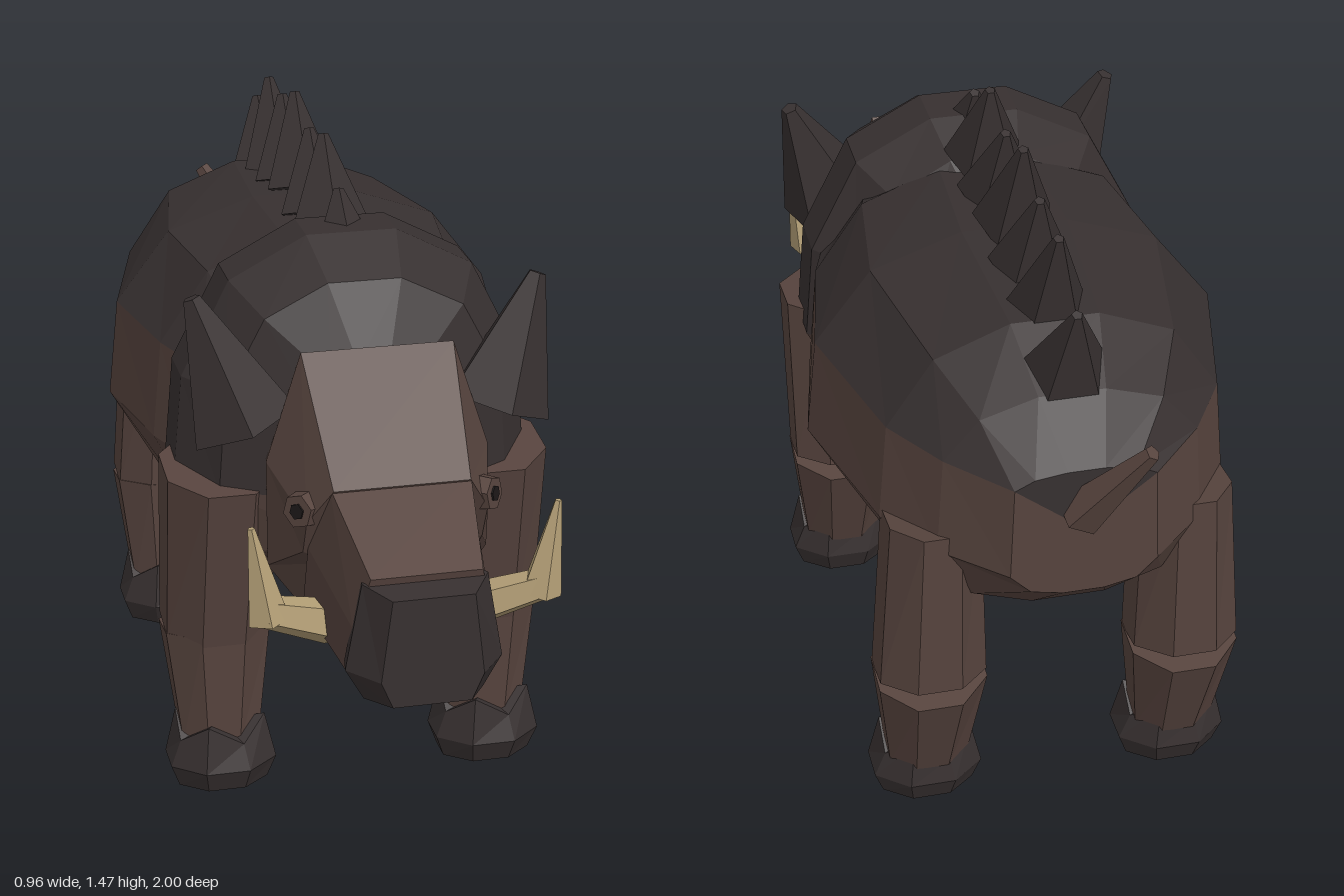
import * as THREE from 'three';

const mat = (name, color) => {
  const m = new THREE.MeshStandardMaterial({ color, flatShading: true });
  m.name = name;
  return m;
};

// Skin a list of equal-length rings; isDark(j) picks the second material per column
function loft(name, rings, mats, isDark = () => false) {
  const buckets = [[], []];
  const n = rings[0].length;
  const centre = r => [0, 1, 2].map(k => r.reduce((s, p) => s + p[k], 0) / n);
  const last = rings[rings.length - 1];
  const c0 = centre(rings[0]), c1 = centre(last);
  for (let j = 0; j < n; j++) {
    const out = buckets[isDark(j) ? 1 : 0];
    const k = (j + 1) % n;
    for (let i = 0; i < rings.length - 1; i++) {
      const a = rings[i][j], b = rings[i][k], c = rings[i + 1][k], d = rings[i + 1][j];
      out.push(...a, ...b, ...c, ...a, ...c, ...d);
    }
    out.push(...c0, ...rings[0][k], ...rings[0][j], ...c1, ...last[j], ...last[k]);
  }
  const g = new THREE.BufferGeometry();
  g.setAttribute('position', new THREE.Float32BufferAttribute([...buckets[0], ...buckets[1]], 3));
  g.addGroup(0, buckets[0].length / 3, 0);
  if (buckets[1].length) g.addGroup(buckets[0].length / 3, buckets[1].length / 3, 1);
  g.computeVertexNormals();
  const mesh = new THREE.Mesh(g, mats);
  mesh.name = name;
  return mesh;
}

// Complete a right-hand half outline (bottom to top) with its mirror image
const mirrorRing = half => [...half, ...half.slice().reverse().map(([x, y, z]) => [-x, y, z])];

// Barrel cross-section
const barrel = ([z, w, top, up, low, bot]) => mirrorRing([
  [0.28 * w, bot, z], [0.72 * w, bot + 0.25 * (low - bot), z], [w, low, z],
  [0.95 * w, up, z], [0.68 * w, up + 0.7 * (top - up), z], [0.25 * w, top, z],
]);

// Slanted head cross-section from a bottom point to a top point
const headRing = ([yb, zb, yt, zt, w, wTop]) => mirrorRing(
  [[0.65 * w, 0], [w, 0.2], [w, 0.6], [wTop, 1]]
    .map(([x, t]) => [x, yb + (yt - yb) * t, zb + (zt - zb) * t]));

// Upright eight-sided ring; tilt raises its back, zig makes alternate points rise and fall
const legRing = (x, y, z, rx, rz, tilt = 0, zig = 0) => Array.from({ length: 8 }, (_, i) => {
  const a = (i + 0.5) * Math.PI / 4;
  return [x + rx * Math.cos(a) * 1.08, y + tilt * Math.sin(a) + (i % 2 ? zig : -zig), z - rz * Math.sin(a) * 1.08];
});

// Tapered rod between two points
function rod(name, from, to, r0, r1, sides, material) {
  const a = new THREE.Vector3(...from), b = new THREE.Vector3(...to);
  const dir = b.clone().sub(a);
  const mesh = new THREE.Mesh(new THREE.CylinderGeometry(r1, r0, dir.length(), sides), material);
  mesh.position.copy(a).add(b).multiplyScalar(0.5);
  mesh.quaternion.setFromUnitVectors(new THREE.Vector3(0, 1, 0), dir.normalize());
  mesh.name = name;
  return mesh;
}

export function createModel() {
  const model = new THREE.Group();
  model.name = 'boar';
  const hide = mat('brown hide', 0x57443e);
  const hair = mat('dark hair', 0x373030);
  const ivory = mat('ivory', 0xb5a077);
  const pupil = mat('eye black', 0x1c1818);

  // Body and shoulders, dark along the back
  model.add(loft('body', [
    [-0.905, 0.16, 1.02, 0.99, 0.77, 0.71],
    [-0.78, 0.29, 1.13, 1.0, 0.77, 0.6],
    [-0.63, 0.385, 1.22, 1.0, 0.77, 0.5],
    [-0.27, 0.478, 1.24, 1.0, 0.77, 0.46],
    [0.03, 0.42, 1.235, 1.0, 0.77, 0.46],
    [0.2, 0.36, 1.15, 1.0, 0.77, 0.5],
  ].map(barrel), [hide, hair], j => j >= 3 && j <= 7));
  model.add(loft('shoulders', [
    [-0.05, 0.2, 1.19, 1.0, 0.77, 0.55],
    [0.02, 0.32, 1.255, 1.0, 0.77, 0.5],
    [0.13, 0.41, 1.31, 1.0, 0.77, 0.47],
    [0.25, 0.41, 1.31, 1.0, 0.77, 0.48],
    [0.38, 0.33, 1.24, 1.0, 0.77, 0.56],
    [0.47, 0.14, 1.08, 0.98, 0.77, 0.64],
  ].map(barrel), [hide, hair], j => j >= 2 && j <= 8));

  // Head, muzzle and nose
  model.add(loft('head', [
    [0.6, 0.32, 0.95, 0.3, 0.21, 0.16],
    [0.52, 0.52, 1.13, 0.5, 0.25, 0.17],
    [0.69, 0.635, 0.9, 0.73, 0.2, 0.15],
  ].map(headRing), [hide]));
  model.add(loft('muzzle', [
    [0.5, 0.58, 0.905, 0.71, 0.19, 0.155],
    [0.48, 0.87, 0.79, 0.94, 0.15, 0.12],
  ].map(headRing), [hide]));
  model.add(loft('nose', [[0.88, 0.95, 0.01], [0.925, 1, 0], [1.0, 0.65, 0.01]].map(([z, s, d]) =>
    mirrorRing([[0.13 * s, 0.51 + d, z], [0.17 * s, 0.58, z], [0.135 * s, 0.775 - d, z]])), [hair]));

  for (const s of [1, -1]) {
    const side = s > 0 ? 'left' : 'right';
    const at = (x, y, z) => [s * x, y, z];

    // Ears
    model.add(rod(side + 'Ear', at(0.285, 0.95, 0.44), at(0.388, 1.235, 0.395), 0.125, 0.02, 5, hair));

    // Eyes
    model.add(rod(side + 'EyeRim', at(0.15, 0.83, 0.62), at(0.218, 0.84, 0.68), 0.05, 0.038, 6, hide));
    model.add(rod(side + 'Pupil', at(0.214, 0.8395, 0.6765), at(0.221, 0.8405, 0.6825), 0.018, 0.018, 6, pupil));

    // Tusks
    model.add(rod(side + 'TuskRoot', at(0.14, 0.575, 0.69), at(0.315, 0.66, 0.775), 0.053, 0.036, 5, ivory));
    model.add(rod(side + 'TuskTip', at(0.3, 0.635, 0.765), at(0.335, 0.85, 0.765), 0.047, 0.008, 5, ivory));

    // Legs and hooves
    for (const [end, x, z, kneeZ, topX, topZ, topR] of [
      ['Front', 0.32, 0.285, 0.225, 0.31, 0.28, 0.15],
      ['Hind', 0.29, -0.61, -0.675, 0.28, -0.67, 0.13],
    ]) {
      model.add(loft(side + end + 'UpperLeg', [
        legRing(s * x, 0.378, kneeZ, 0.12, 0.125, 0.022),
        legRing(s * topX, 0.795, topZ, x - 0.19, topR, 0.02),
      ], [hide]));
      model.add(loft(side + end + 'LowerLeg', [
        legRing(s * x, 0.1, z - 0.02, 0.09, 0.075),
        legRing(s * x, 0.372, kneeZ, 0.122, 0.128, -0.018),
      ], [hide]));
      model.add(loft(side + end + 'Hoof', [
        legRing(s * x, 0, z, 0.105, 0.08),
        legRing(s * x, 0.055, z, 0.125, 0.102),
        legRing(s * x, 0.14, z - 0.005, 0.1, 0.085, 0, 0.025),
      ], [hair]));
    }
  }

  // Bristles along the spine: tip z, tip y, base z, base y
  [
    [0.12, 1.37, 0.17, 1.27], [-0.035, 1.455, 0.025, 1.26], [-0.185, 1.425, -0.11, 1.24],
    [-0.345, 1.47, -0.265, 1.255], [-0.49, 1.425, -0.415, 1.23],
    [-0.65, 1.425, -0.56, 1.2], [-0.805, 1.335, -0.72, 1.155],
  ].forEach(([tz, ty, bz, by], i) => model.add(
    rod('bristle' + (i + 1), [0, by, bz], [0, ty, tz], i ? 0.093 : 0.06, 0.012, 5, hair)));

  // Tail
  model.add(rod('tail', [0.01, 0.9, -0.885], [-0.115, 1.1, -0.985], 0.055, 0.018, 5, hide));

  return model;
}
